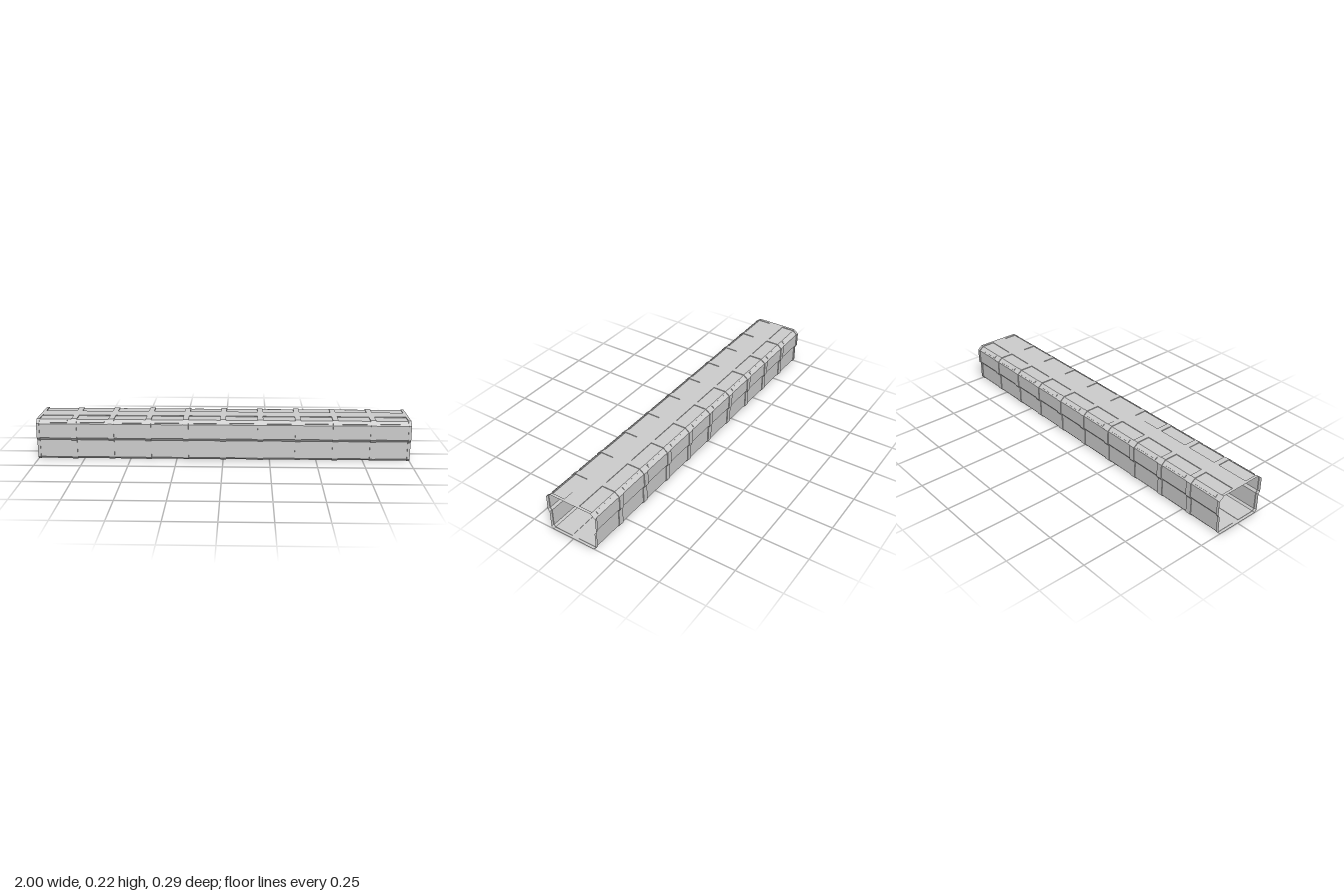
import * as THREE from 'three';

const SECTIONS = 10, LENGTH = 2, RIB = 0.015; // RIB = half width of a rib
const PITCH = LENGTH / SECTIONS;

// Half cross-sections as [z, y], from the roof centre round to the floor centre
const RAISED = [[0, 0.222], [0.045, 0.222], [0.045, 0.222], [0.12, 0.222], [0.147, 0.2], [0.147, 0.119],
  [0.137, 0.106], [0.137, 0.012], [0.125, 0], [0.02, 0], [0.02, 0], [0, 0]];
const SUNK = [[0, 0.222], [0.045, 0.222], [0.045, 0.218], [0.118, 0.218], [0.143, 0.198], [0.143, 0.121],
  [0.133, 0.108], [0.133, 0.013], [0.124, 0.002], [0.02, 0.002], [0.02, 0], [0, 0]];

// Mirror a half section into the full loop
const fullLoop = half => [...half, ...half.slice(0, -1).reverse().map(([z, y]) => [-z, y])];

// Thin open shell lofted through a list of { x, loop } stations
function loft(stations) {
  const positions = [], index = [];
  const n = stations[0].loop.length;
  for (const { x, loop } of stations) for (const [z, y] of loop) positions.push(x, y, z);
  for (let s = 0; s < stations.length - 1; s++) {
    for (let k = 0; k < n - 1; k++) {
      const a = s * n + k, b = a + n;
      index.push(a, a + 1, b, a + 1, b + 1, b);
    }
  }
  const geometry = new THREE.BufferGeometry();
  geometry.setAttribute('position', new THREE.Float32BufferAttribute(positions, 3));
  geometry.setIndex(index);
  const flat = geometry.toNonIndexed();
  flat.computeVertexNormals();
  return flat;
}

export function createModel() {
  const group = new THREE.Group();
  group.name = 'corridor';
  const material = new THREE.MeshStandardMaterial({ color: 0xcccccc, flatShading: true, side: THREE.DoubleSide });

  // Hollow shell: raised ribs at every joint, sunken panels between them
  const raised = fullLoop(RAISED), sunk = fullLoop(SUNK);
  const stations = [{ x: -LENGTH / 2, loop: raised }];
  for (let i = 0; i < SECTIONS; i++) {
    const start = -LENGTH / 2 + i * PITCH + RIB, end = start + PITCH - 2 * RIB;
    stations.push({ x: start, loop: raised }, { x: start, loop: sunk }, { x: end, loop: sunk }, { x: end, loop: raised });
  }
  stations.push({ x: LENGTH / 2, loop: raised });
  const shell = new THREE.Mesh(loft(stations), material);
  shell.name = 'ribbedShell';
  group.add(shell);

  // Raised strips on the sloping roof edges, one per section and side
  const strip = new THREE.BoxGeometry(0.13, 0.004, 0.016);
  for (const side of [1, -1]) {
    for (let i = 0; i < SECTIONS; i++) {
      const mesh = new THREE.Mesh(strip, material);
      mesh.name = side > 0 ? 'frontRoofStrip' : 'backRoofStrip';
      mesh.position.set(-LENGTH / 2 + (i + 0.5) * PITCH, 0.2096, side * 0.1318);
      mesh.rotation.x = side * Math.atan2(0.02, 0.025);
      group.add(mesh);
    }
  }
  return group;
}
